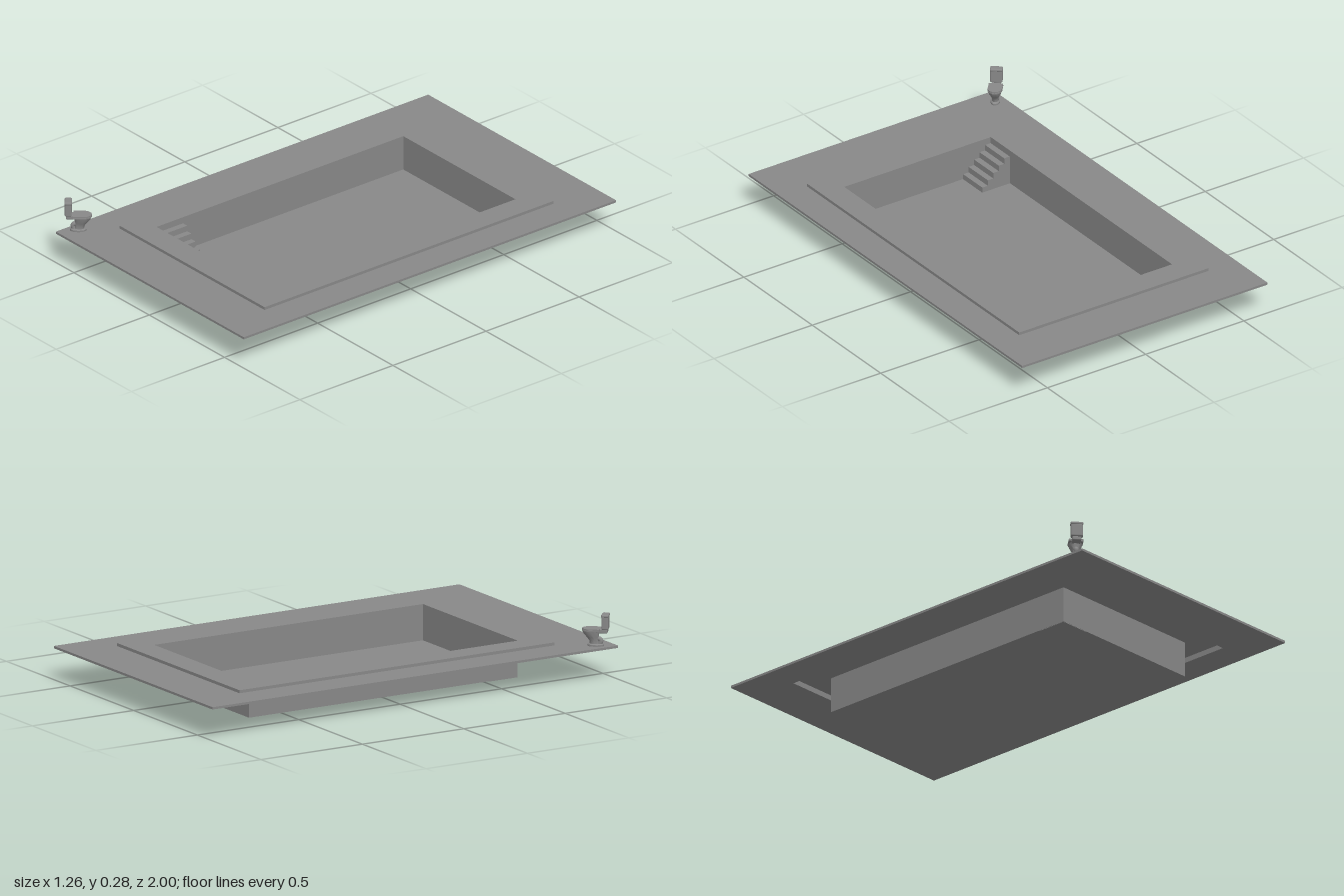
import * as THREE from 'three';
import { RoundedBoxGeometry } from 'three/addons/geometries/RoundedBoxGeometry.js';
import { toCreasedNormals } from 'three/addons/utils/BufferGeometryUtils.js';

const grey = new THREE.MeshStandardMaterial({ color: 0x888888 });
const sheet = new THREE.MeshStandardMaterial({ color: 0x888888, side: THREE.DoubleSide });

function add(parent, name, geometry, x = 0, y = 0, z = 0, material = grey) {
  const mesh = new THREE.Mesh(geometry, material);
  mesh.name = name;
  mesh.position.set(x, y, z);
  parent.add(mesh);
}

// Open shell through rectangular loops [x0, x1, z0, z1, y]; optionally closed by a floor
function rectShell(loops, floor = false) {
  const rings = loops.map(([x0, x1, z0, z1, y]) => [[x0, y, z1], [x1, y, z1], [x1, y, z0], [x0, y, z0]]);
  const pos = [];
  const quad = (a, b, c, d) => pos.push(...a, ...b, ...c, ...a, ...c, ...d);
  for (let i = 0; i < rings.length - 1; i++) {
    for (let k = 0; k < 4; k++) {
      const n = (k + 1) % 4;
      quad(rings[i][k], rings[i][n], rings[i + 1][n], rings[i + 1][k]);
    }
  }
  if (floor) quad(...rings[rings.length - 1]);
  const g = new THREE.BufferGeometry();
  g.setAttribute('position', new THREE.Float32BufferAttribute(pos, 3));
  g.computeVertexNormals();
  return g;
}

function rectPath(path, x0, x1, z0, z1) {
  path.moveTo(x0, -z1);
  path.lineTo(x1, -z1);
  path.lineTo(x1, -z0);
  path.lineTo(x0, -z0);
  path.closePath();
  return path;
}

// Elliptical loft from rings [y, centreZ, radiusX, radiusZ], bottom to top, capped
function ovalLoft(rings, sides = 24) {
  const all = [[rings[0][0], rings[0][1], 0, 0], ...rings];
  const last = rings[rings.length - 1];
  all.push([last[0], last[1], 0, 0]);
  const g = new THREE.LatheGeometry(all.map((r, i) => new THREE.Vector2(1, i)), sides);
  const p = g.attributes.position;
  for (let i = 0; i < p.count; i++) {
    const [y, cz, rx, rz] = all[Math.round(p.getY(i))];
    p.setXYZ(i, p.getX(i) * rx, y, cz + p.getZ(i) * rz);
  }
  return toCreasedNormals(g, 0.7);
}

// Rounded front, straight back slab for the seat and lid
function seatSlab(halfWidth, back, centre, radius, height) {
  const s = new THREE.Shape();
  s.moveTo(-halfWidth, -back);
  s.lineTo(halfWidth, -back);
  s.lineTo(halfWidth, -centre);
  s.absellipse(0, -centre, halfWidth, radius, 0, -Math.PI, true);
  s.closePath();
  const g = new THREE.ExtrudeGeometry(s, { depth: height, bevelEnabled: false, curveSegments: 20 });
  g.rotateX(-Math.PI / 2);
  return toCreasedNormals(g, 0.6);
}

function makeToilet() {
  const t = new THREE.Group();
  t.name = 'toilet';
  // Foot, pedestal and bowl
  add(t, 'foot', ovalLoft([[0, 0, 0.02, 0.034], [0.007, 0, 0.02, 0.034], [0.011, 0, 0.016, 0.029]]));
  add(t, 'bowl', ovalLoft([
    [0.008, 0.004, 0.015, 0.021], [0.022, 0.006, 0.014, 0.02], [0.038, 0.012, 0.02, 0.026],
    [0.053, 0.018, 0.026, 0.033], [0.067, 0.02, 0.029, 0.037],
  ]));
  // Curved trap behind the pedestal
  const trap = new THREE.CatmullRomCurve3([
    new THREE.Vector3(0, 0.02, 0.006), new THREE.Vector3(0, 0.032, -0.012),
    new THREE.Vector3(0, 0.025, -0.022), new THREE.Vector3(0, 0.008, -0.018),
  ]);
  add(t, 'trap', new THREE.TubeGeometry(trap, 20, 0.01, 12));
  // Shelf carrying the tank
  add(t, 'tankShelf', new RoundedBoxGeometry(0.038, 0.018, 0.046, 2, 0.004), 0, 0.067, -0.028);
  // Seat and closed lid
  add(t, 'seat', seatSlab(0.031, -0.02, 0.022, 0.036, 0.005), 0, 0.066, 0);
  add(t, 'seatLid', seatSlab(0.03, -0.02, 0.022, 0.035, 0.005), 0, 0.0715, 0);
  // Tank with lid
  add(t, 'tank', new RoundedBoxGeometry(0.052, 0.058, 0.029, 3, 0.006), 0, 0.103, -0.0415);
  add(t, 'tankLid', new RoundedBoxGeometry(0.054, 0.014, 0.032, 3, 0.006), 0, 0.133, -0.0415);
  return t;
}

export function createModel() {
  const model = new THREE.Group();
  model.name = 'pool';
  const outer = [-0.476, 0.488, -0.777, 0.775];
  const inner = [-0.369, 0.376, -0.663, 0.662];

  // Paved deck with the opening for the pool
  const shape = rectPath(new THREE.Shape(), -0.62, 0.628, -1, 1);
  shape.holes.push(rectPath(new THREE.Path(), ...outer));
  const deck = new THREE.ExtrudeGeometry(shape, { depth: 0.01, bevelEnabled: false });
  deck.rotateX(-Math.PI / 2);
  add(model, 'deck', deck, 0, 0.135, 0);

  // Raised coping, open underneath, and the sunken basin
  add(model, 'coping', rectShell([[...outer, 0.14], [...outer, 0.158], [...inner, 0.158]]), 0, 0, 0, sheet);
  add(model, 'basin', rectShell([[...inner, 0.158], [...inner, 0.002]], true), 0, 0, 0, sheet);

  // Steps descending from the wall
  const steps = new THREE.Group();
  steps.name = 'steps';
  const count = 5, tread = 0.028, rise = 0.026;
  for (let i = 0; i < count; i++) {
    const h = rise * (count - i);
    add(steps, 'step', new THREE.BoxGeometry(tread, h, 0.14), -0.368 + tread * (i + 0.5), h / 2, 0.591);
  }
  model.add(steps);

  // Toilet on the deck corner, turned towards the pool
  const toilet = makeToilet();
  toilet.position.set(-0.572, 0.145, 0.919);
  toilet.rotation.y = 2.43;
  model.add(toilet);
  return model;
}
